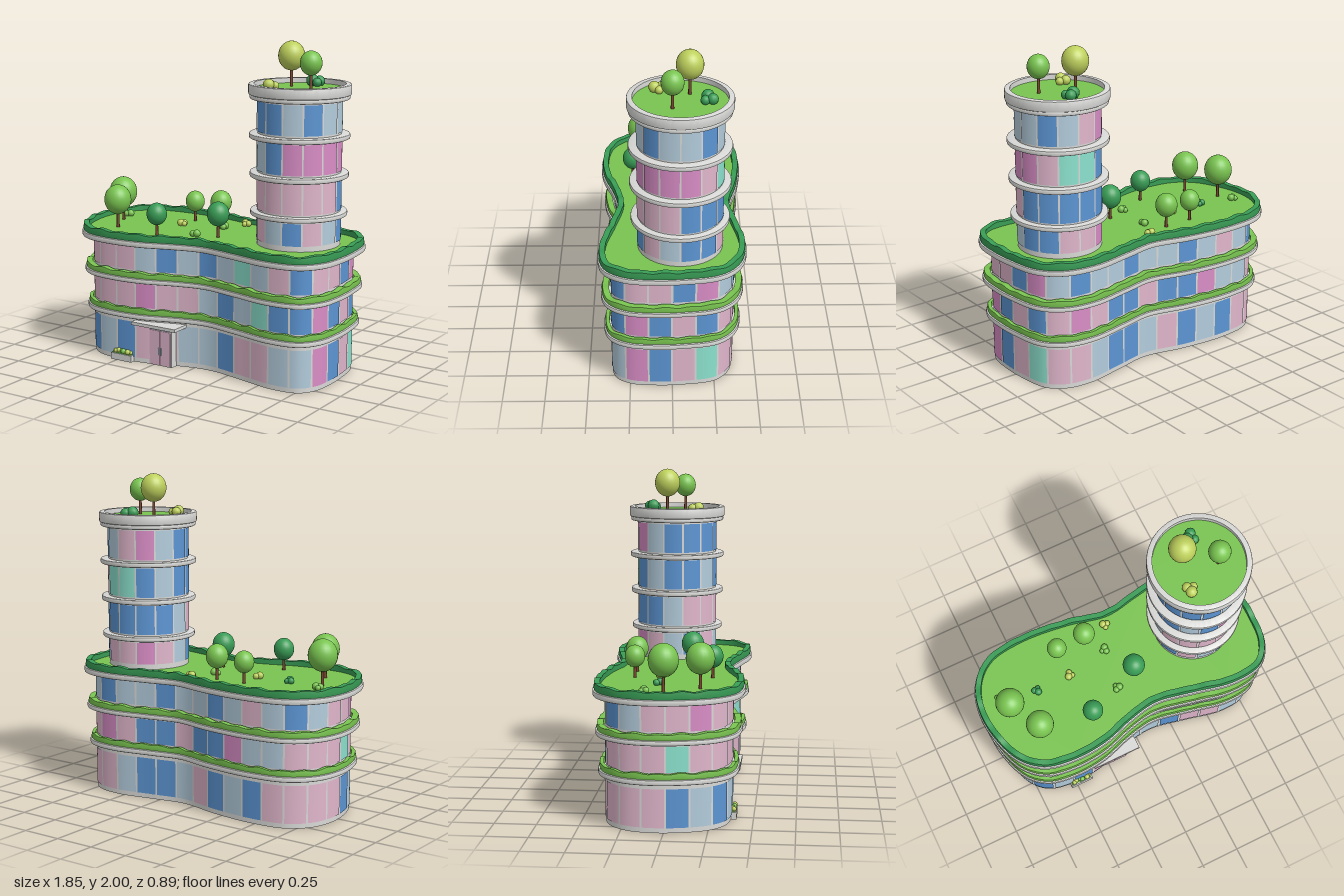
import * as THREE from 'three';
import { mergeGeometries, toCreasedNormals } from 'three/addons/utils/BufferGeometryUtils.js';

const STEPS = 12; // outline samples per window panel

const mat = (name, color) => {
  const m = new THREE.MeshStandardMaterial({ color });
  m.name = name;
  return m;
};

// Outline samples with outward normals
function makeOutline(curve, count) {
  const pts = curve.getSpacedPoints(count).slice(0, count);
  return pts.map((p, i) => {
    const a = pts[(i + count - 1) % count], b = pts[(i + 1) % count];
    const dx = b.x - a.x, dz = b.z - a.z, l = Math.hypot(dx, dz);
    return { x: p.x, z: p.z, nx: -dz / l, nz: dx / l };
  });
}

// Sweep a profile of [offset, y, wave] along the outline from sample i0 to i1
function sweep(outline, profile, i0 = 0, i1 = outline.length) {
  const pos = [], idx = [], n = profile.length;
  for (let i = i0; i <= i1; i++) {
    const k = i % outline.length, o = outline[k];
    const t = (k / outline.length) * Math.PI * 2;
    const w = Math.sin(t * 34) * 0.6 + Math.sin(t * 21 + 1) * 0.4;
    for (const [d, y, wave = 0] of profile) pos.push(o.x + o.nx * d, y + w * wave, o.z + o.nz * d);
  }
  for (let i = 0; i < i1 - i0; i++) {
    for (let j = 0; j < n - 1; j++) {
      const a = i * n + j, b = a + n;
      idx.push(a, b, b + 1, a, b + 1, a + 1);
    }
  }
  const g = new THREE.BufferGeometry();
  g.setAttribute('position', new THREE.Float32BufferAttribute(pos, 3));
  g.setIndex(idx);
  return toCreasedNormals(g, 0.6);
}

// Flat cap filling the outline, facing up or down
function cap(outline, d, y, up = true) {
  const s = up ? -1 : 1;
  const pts = outline.map(o => new THREE.Vector2(o.x + o.nx * d, s * (o.z + o.nz * d)));
  return new THREE.ShapeGeometry(new THREE.Shape(pts)).rotateX(s * Math.PI / 2).translate(0, y, 0);
}

const slabProfile = (d, y0, y1, inner = -0.02) => [
  [inner, y0], [d - 0.008, y0], [d - 0.002, y0 + 0.003], [d, y0 + 0.009],
  [d, y1 - 0.009], [d - 0.002, y1 - 0.003], [d - 0.008, y1], [inner, y1],
];
const hedgeProfile = (d0, d1, y0, y1) => [
  [d1 - 0.004, y0], [d1, y0 + 0.015], [d1 - 0.004, y1, 0.006], [d0, y1, 0.006], [d0, y0],
];

export function createModel() {
  const model = new THREE.Group();
  const M = {
    concrete: mat('concrete', 0xd9d9d7),
    p: mat('pale pink glass', 0xe0b6cb),
    m: mat('magenta glass', 0xd98dc6),
    b: mat('blue glass', 0x5c95d3),
    a: mat('pale blue glass', 0xb3ccdc),
    t: mat('teal glass', 0x8ce2ce),
    green: mat('grass green', 0x79c450),
    dark: mat('dark green', 0x389c55),
    lime: mat('lime green', 0xbdd05c),
    trunk: mat('brown trunk', 0x7a4632),
  };
  const add = (name, geo, material, parent = model) => {
    const mesh = new THREE.Mesh(geo, material);
    mesh.name = name;
    parent.add(mesh);
    return mesh;
  };
  const box = (name, x0, x1, y0, y1, z0, z1, material, parent) =>
    add(name, new THREE.BoxGeometry(x1 - x0, y1 - y0, z1 - z0)
      .translate((x0 + x1) / 2, (y0 + y1) / 2, (z0 + z1) / 2), material, parent);

  // One storey of coloured panes, one letter per pane
  function windows(name, outline, y0, y1, colours) {
    const sets = {};
    [...colours].forEach((c, i) => {
      (sets[c] ??= []).push(sweep(outline, [[0.004, y0], [0.004, y1]], i * STEPS + 1, i * STEPS + STEPS));
    });
    for (const c in sets) add(name, mergeGeometries(sets[c]), M[c]);
  }

  // Podium outline: a curved, waisted plan, starting at the front waist
  const plan = [
    [0.025, 0.268], [0.13, 0.264], [0.36, 0.31], [0.6, 0.36], [0.765, 0.338], [0.83, 0.25],
    [0.85, 0.1], [0.845, -0.05], [0.805, -0.25], [0.715, -0.335], [0.55, -0.365], [0.31, -0.327],
    [0.08, -0.29], [-0.19, -0.345], [-0.48, -0.37], [-0.7, -0.335], [-0.81, -0.23], [-0.851, -0.08],
    [-0.835, 0.09], [-0.77, 0.255], [-0.67, 0.341], [-0.5, 0.371], [-0.31, 0.357], [-0.12, 0.3],
  ];
  const curve = new THREE.CatmullRomCurve3(plan.map(([x, z]) => new THREE.Vector3(x, 0, z)), true);
  curve.arcLengthDivisions = 1200;
  const podium = makeOutline(curve, 32 * STEPS);

  add('podiumWall', sweep(podium, [[0, 0], [0, 0.77]]), M.concrete);
  add('podiumBase', cap(podium, 0, 0, false), M.concrete);
  // Panes run from the front waist: front right, right side, back, left side, front left
  [
    [0.03, 0.258, 'abppaa' + 'mbptp' + 'pabbapbabppp' + 'pba' + 'babppa'],
    [0.355, 0.505, 'abatbb' + 'mbpbp' + 'mpbbpbbmaapp' + 'ptp' + 'pppmpp'],
    [0.59, 0.737, 'batapb' + 'ppbma' + 'baabaabapaba' + 'ppm' + 'pppaba'],
  ].forEach(([y0, y1, c]) => windows('podiumWindows', podium, y0, y1, c));

  // Podium ledges with planting
  [[0.045, 0.287, 0.32], [0.06, 0.52, 0.551], [0.075, 0.75, 0.786]].forEach(([d, y0, y1], i) => {
    add('podiumLedge', sweep(podium, slabProfile(d, y0, y1)), M.concrete);
    const roof = i === 2;
    add(roof ? 'roofHedge' : 'ledgePlanting',
      sweep(podium, hedgeProfile(roof ? 0.03 : 0.012, d - 0.007, y1 - 0.004, y1 + (roof ? 0.042 : 0.033))),
      roof ? M.dark : M.green);
  });
  add('roofLawn', cap(podium, 0.034, 0.797), M.green);

  // Tower: the same method on a circle, panes starting left of the front
  const TX = 0.54, TZ = -0.048, R = 0.25;
  const tower = Array.from({ length: 13 * STEPS }, (_, i) => {
    const a = (i / (13 * STEPS)) * Math.PI * 2 - 0.39;
    return { x: TX + R * Math.sin(a), z: TZ + R * Math.cos(a), nx: Math.sin(a), nz: Math.cos(a) };
  });
  add('towerWall', sweep(tower, [[0, 0.79], [0, 1.7]]), M.concrete);
  [
    [0.83, 0.965, 'abpabbppmpabp'],
    [1.015, 1.197, 'ppppbbbbbbapp'],
    [1.248, 1.43, 'bmmmmpttbabba'],
    [1.48, 1.66, 'babaabapmabbb'],
  ].forEach(([y0, y1, c]) => windows('towerWindows', tower, y0, y1, c));
  [[0.04, 0.975, 1.005], [0.045, 1.205, 1.237], [0.05, 1.437, 1.468], [0.047, 1.67, 1.698]]
    .forEach(([d, y0, y1]) => add('towerLedge', sweep(tower, slabProfile(d, y0, y1)), M.concrete));
  add('towerParapet', sweep(tower, [...slabProfile(0.055, 1.695, 1.76, 0.022), [0.022, 1.7]]), M.concrete);
  add('towerLawn', cap(tower, 0.024, 1.73), M.green);

  // Trees: [x, z, crown radius, crown centre height, colour, ground height]
  [
    [-0.735, -0.01, 0.089, 0.98, 'green', 0.795], [-0.628, 0.193, 0.085, 0.975, 'green', 0.795],
    [-0.32, -0.222, 0.061, 0.926, 'green', 0.795], [-0.128, -0.23, 0.068, 0.94, 'green', 0.795],
    [-0.295, 0.242, 0.063, 0.928, 'dark', 0.795], [0.058, 0.094, 0.069, 0.942, 'dark', 0.795],
    [0.45, -0.102, 0.08, 1.912, 'lime', 1.725], [0.638, -0.002, 0.066, 1.887, 'green', 1.725],
  ].forEach(([x, z, r, y, c, y0]) => {
    const tree = new THREE.Group();
    tree.name = 'tree';
    tree.position.set(x, y0, z);
    add('trunk', new THREE.CylinderGeometry(0.007, 0.01, y - y0, 8).translate(0, (y - y0) / 2, 0), M.trunk, tree);
    add('crown', new THREE.SphereGeometry(r, 24, 16).scale(1, 1.1, 1).translate(0, y - y0, 0), M[c], tree);
    model.add(tree);
  });

  // Shrubs: clusters of three overlapping spheres
  function shrub(x, y, z, r, c, turn) {
    const blobs = [0, 1, 2].map(i => {
      const a = turn + i * 2.1, s = r * (1 - i * 0.14);
      return new THREE.SphereGeometry(s, 12, 8).translate(x + Math.cos(a) * r * 0.65, y + s * 0.8, z + Math.sin(a) * r * 0.65);
    });
    add('shrub', mergeGeometries(blobs), M[c]);
  }
  [
    [-0.772, -0.118, 'green'], [-0.538, -0.065, 'dark'], [-0.308, -0.065, 'lime'],
    [0.036, -0.268, 'lime'], [-0.042, -0.12, 'green'], [-0.08, 0.14, 'green'],
  ].forEach(([x, z, c], i) => shrub(x, 0.797, z, 0.023, c, i * 1.3));
  shrub(0.418, 1.73, 0.078, 0.034, 'lime', 1.8);
  shrub(0.563, 1.73, -0.205, 0.038, 'dark', 3);

  // Entrance with double doors under a canopy
  const entrance = new THREE.Group();
  entrance.name = 'entrance';
  model.add(entrance);
  box('doorFrame', -0.285, -0.115, 0, 0.252, 0.26, 0.352, M.concrete, entrance);
  box('transom', -0.278, -0.122, 0.229, 0.249, 0.35, 0.356, M.b, entrance);
  for (const s of [-1, 1]) {
    const x = -0.2 + s * 0.039;
    box('doorLeaf', x - 0.037, x + 0.037, 0.006, 0.224, 0.35, 0.357, M.p, entrance);
    box('doorHandle', -0.2 + s * 0.009 - 0.003, -0.2 + s * 0.009 + 0.003, 0.07, 0.115, 0.357, 0.364, M.a, entrance);
  }
  box('canopy', -0.375, -0.052, 0.25, 0.27, 0.26, 0.412, M.concrete, entrance);

  // Planter beside the entrance
  box('planterBox', -0.543, -0.39, 0, 0.042, 0.335, 0.4, M.concrete);
  box('planterSoil', -0.535, -0.398, 0.04, 0.046, 0.34, 0.394, M.green);
  [-0.51, -0.465, -0.42].forEach((x, i) => shrub(x, 0.044, 0.375, 0.017, i === 1 ? 'green' : 'lime', i));

  return model;
}
